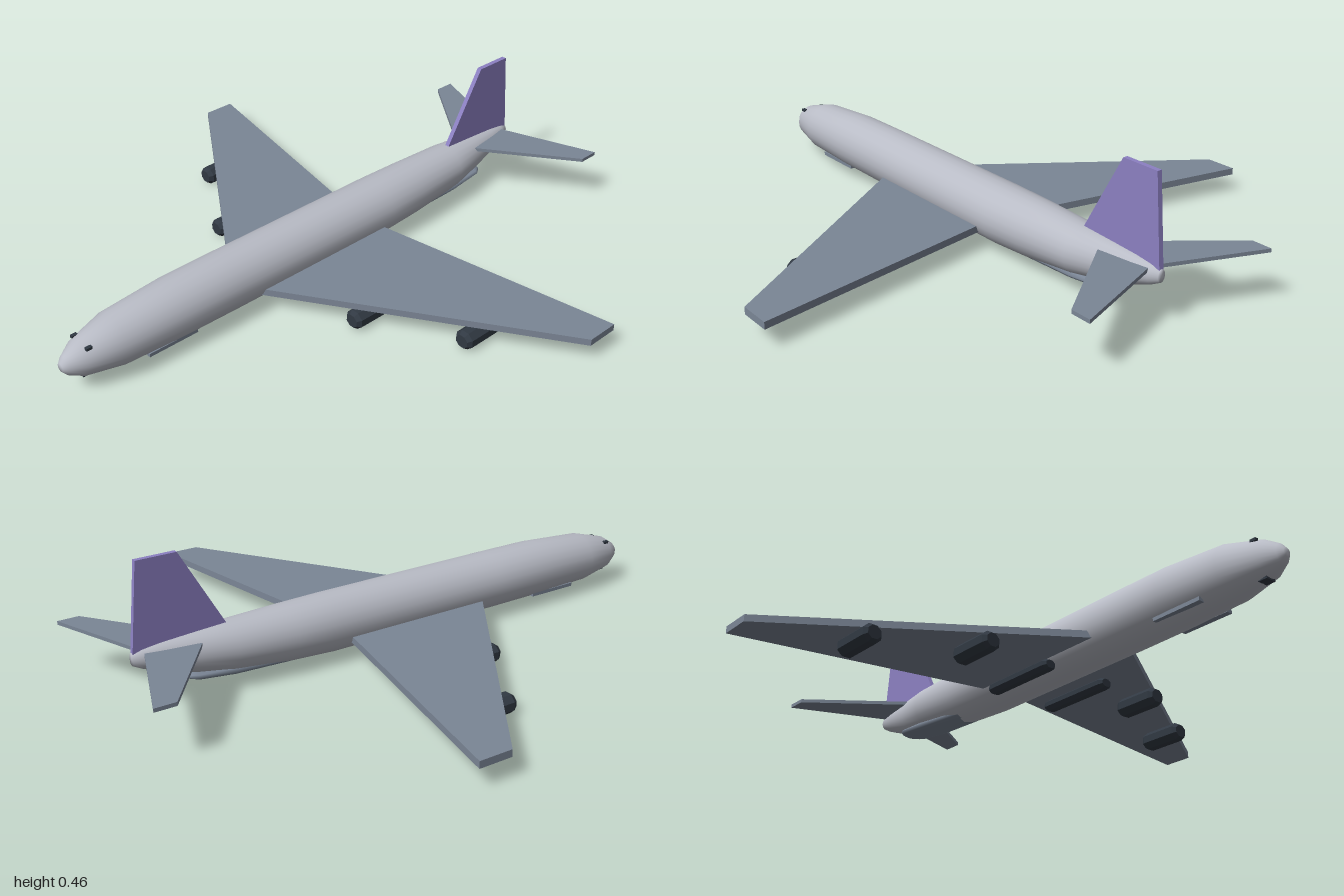
import * as THREE from 'three';

const mat = (name, color) => {
  const m = new THREE.MeshStandardMaterial({ color });
  m.name = name;
  return m;
};

// Closed smooth hull through elliptical rings [z, centreY, radiusX, radiusY], nose first
function loft(rings, sides) {
  const first = rings[0], last = rings[rings.length - 1];
  const all = [[first[0], first[1], 0, 0], ...rings, [last[0], last[1], 0, 0]];
  const pos = [], idx = [];
  all.forEach(([z, yc, rx, ry], i) => {
    for (let j = 0; j < sides; j++) {
      const t = (j / sides) * Math.PI * 2;
      pos.push(rx * Math.cos(t), yc + ry * Math.sin(t), z);
      if (i === all.length - 1) continue;
      const k = (j + 1) % sides;
      const a = i * sides + j, b = i * sides + k, c = a + sides, d = b + sides;
      idx.push(a, c, b, b, c, d);
    }
  });
  const g = new THREE.BufferGeometry();
  g.setAttribute('position', new THREE.Float32BufferAttribute(pos, 3));
  g.setIndex(idx);
  g.computeVertexNormals();
  return g;
}

const extrude = (pts, depth) => new THREE.ExtrudeGeometry(
  new THREE.Shape(pts.map(([x, y]) => new THREE.Vector2(x, y))), { depth, bevelEnabled: false });

// Flat horizontal slab from an [x, z] outline
function slab(pts, y0, y1, side) {
  const g = extrude(pts.map(([x, z]) => [x * side, -z]), y1 - y0);
  g.rotateX(-Math.PI / 2);
  g.translate(0, y0, 0);
  return g;
}

// Faceted eight-sided pod along z with chamfered ends
function pod(rx, ry, length) {
  const h = length / 2, c = 0.014;
  const profile = [[0, -h], [0.7, -h], [1, -h + c], [1, h - c], [0.7, h], [0, h]];
  const g = new THREE.LatheGeometry(profile.map(([x, y]) => new THREE.Vector2(x, y)), 8);
  g.rotateY(Math.PI / 8);
  g.rotateX(Math.PI / 2);
  const k = 1 / Math.cos(Math.PI / 8);
  g.scale(rx * k, ry * k, 1);
  const flat = g.toNonIndexed();
  flat.computeVertexNormals();
  return flat;
}

export function createModel() {
  const model = new THREE.Group();
  model.name = 'airplane';
  const body = mat('light grey', 0xb9bcc6);
  const wing = mat('blue grey', 0x7b8696);
  const fin = mat('violet', 0x8c80c2);
  const dark = mat('dark slate', 0x313943);

  const add = (name, geometry, material, x = 0, y = 0, z = 0) => {
    const m = new THREE.Mesh(geometry, material);
    m.name = name;
    m.position.set(x, y, z);
    model.add(m);
    return m;
  };

  // Fuselage
  add('fuselage', loft([
    [1, 0.105, 0.014, 0.014],
    [0.985, 0.105, 0.028, 0.032],
    [0.94, 0.108, 0.056, 0.058],
    [0.82, 0.115, 0.087, 0.085],
    [0.6, 0.12, 0.098, 0.096],
    [0.4, 0.12, 0.1, 0.097],
    [-0.25, 0.12, 0.1, 0.097],
    [-0.4, 0.123, 0.095, 0.092],
    [-0.6, 0.131, 0.083, 0.079],
    [-0.72, 0.139, 0.058, 0.065],
    [-0.82, 0.151, 0.04, 0.047],
    [-0.88, 0.159, 0.026, 0.032],
    [-0.91, 0.163, 0.014, 0.02],
  ], 24), body);

  // Belly fairing under the tail
  add('tailFairing', loft([
    [-0.28, 0.048, 0.03, 0.01],
    [-0.4, 0.052, 0.052, 0.02],
    [-0.6, 0.062, 0.058, 0.019],
    [-0.72, 0.071, 0.052, 0.014],
    [-0.745, 0.073, 0.035, 0.01],
  ], 12), wing);

  // Vertical fin
  const finGeo = extrude([[-0.6, 0.2], [-0.91, 0.165], [-0.88, 0.465], [-0.75, 0.465]], 0.016);
  finGeo.rotateY(-Math.PI / 2);
  finGeo.translate(0.008, 0, 0);
  add('fin', finGeo, fin);

  // Mirrored parts
  for (const [label, s] of [['left', 1], ['right', -1]]) {
    add(label + 'Wing', slab(
      [[0.075, 0.325], [0.93, -0.25], [0.93, -0.36], [0.075, -0.205]], 0.067, 0.09, s), wing);
    add(label + 'Tailplane', slab(
      [[0, -0.67], [0.35, -0.93], [0.35, -1], [0, -0.87]], 0.169, 0.181, s), wing);
    add(label + 'InnerEngine', pod(0.032, 0.03, 0.165), dark, s * 0.34, 0.036, 0.09);
    add(label + 'OuterEngine', pod(0.032, 0.03, 0.165), dark, s * 0.635, 0.036, -0.09);
    add(label + 'GearPod', pod(0.025, 0.018, 0.28), dark, s * 0.116, 0.022, 0.03);

    // Slim strake low on the forward fuselage
    add(label + 'Strake', new THREE.BoxGeometry(0.02, 0.012, 0.18), wing, s * 0.057, 0.045, 0.65);

    // Small cockpit window
    add(label + 'Window', new THREE.BoxGeometry(0.012, 0.009, 0.02), dark, s * 0.038, 0.159, 0.923);
  }

  // Chin sensor
  add('chinSensor', new THREE.BoxGeometry(0.035, 0.009, 0.03), dark, 0, 0.05, 0.925);

  return model;
}
